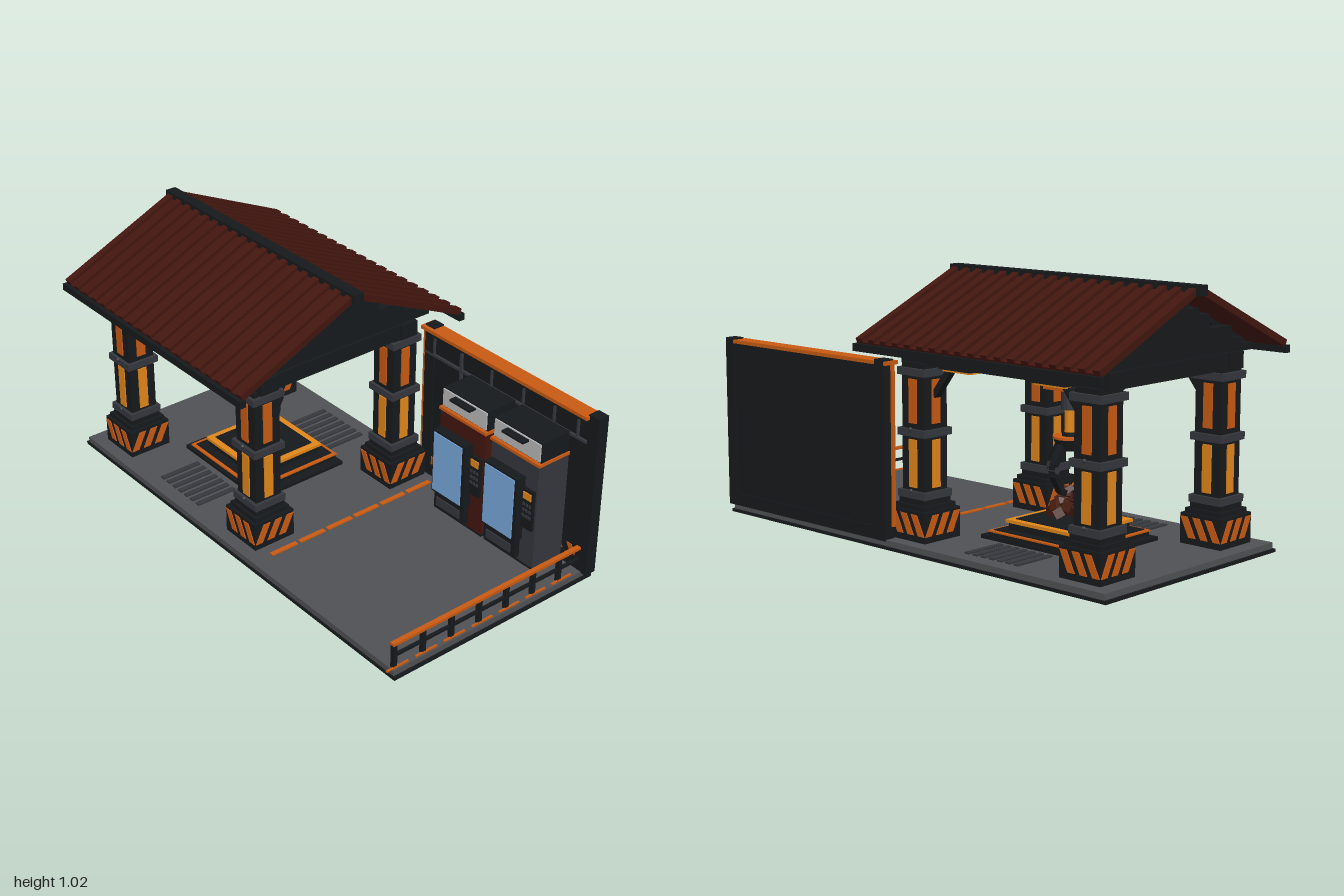
import * as THREE from 'three';

const DARK = 0x16191c, GREY = 0x34373d, FLOOR = 0x505154, ROOF = 0x43160f, ORANGE = 0xc85a12,
  AMBER = 0xe0861a, BLUE = 0x78a8dc, WHITE = 0xb8b8b8, RUST = 0x4a2013;
const mats = {};
const mat = c => (mats[c] ??= new THREE.MeshStandardMaterial({ color: c, flatShading: true }));

function add(parent, name, geo, color, x = 0, y = 0, z = 0) {
  const m = new THREE.Mesh(geo, mat(color));
  m.name = name;
  m.position.set(x, y, z);
  parent.add(m);
  return m;
}
function group(parent, name, x = 0, y = 0, z = 0) {
  const g = new THREE.Group();
  g.name = name;
  g.position.set(x, y, z);
  parent.add(g);
  return g;
}
// Box given by its limits on each axis
const span = (p, name, c, x0, x1, y0, y1, z0, z1) =>
  add(p, name, new THREE.BoxGeometry(x1 - x0, y1 - y0, z1 - z0), c, (x0 + x1) / 2, (y0 + y1) / 2, (z0 + z1) / 2);
// Square block centred on the y axis of its parent
const block = (p, name, c, r, y0, y1, rz = r) => span(p, name, c, -r, r, y0, y1, -rz, rz);
const drum = (p, name, c, rTop, rBot, y0, y1, n = 16) =>
  add(p, name, new THREE.CylinderGeometry(rTop, rBot, y1 - y0, n), c, 0, (y0 + y1) / 2, 0);
// Straight bar between two points
function bar(p, name, c, a, b, w, d) {
  const A = new THREE.Vector3(...a), B = new THREE.Vector3(...b), dir = B.clone().sub(A);
  const m = add(p, name, new THREE.BoxGeometry(w, dir.length(), d), c);
  m.position.copy(A).add(B).multiplyScalar(0.5);
  m.quaternion.setFromUnitVectors(new THREE.Vector3(0, 1, 0), dir.normalize());
  return m;
}
// Slanted hazard stripe standing on its parent's local z plane
function stripe(p, x, y, z, w, h, lean) {
  const s = new THREE.Shape([[-w / 2 + lean, 0], [w / 2 + lean, 0], [w / 2 - lean, h], [-w / 2 - lean, h]]
    .map(q => new THREE.Vector2(...q)));
  add(p, 'hazardStripe', new THREE.ExtrudeGeometry(s, { depth: 0.004, bevelEnabled: false }), ORANGE, x, y, z);
}

function column(p, x, z) {
  const g = group(p, 'column', x, 0, z);
  block(g, 'columnBase', DARK, 0.092, 0.035, 0.15);
  block(g, 'columnBaseTop', DARK, 0.08, 0.15, 0.168);
  block(g, 'columnFoot', DARK, 0.067, 0.168, 0.19);
  block(g, 'columnShaft', DARK, 0.058, 0.19, 0.695);
  for (const y of [0.19, 0.422, 0.648]) block(g, 'columnCollar', GREY, 0.071, y, y + 0.028);
  for (let i = 0; i < 4; i++) {
    const side = group(g, 'columnSide');
    side.rotation.y = i * Math.PI / 2;
    span(side, 'lowerLightPanel', AMBER, -0.02, 0.02, 0.23, 0.41, 0.05, 0.063);
    span(side, 'upperLightPanel', ORANGE, -0.02, 0.02, 0.47, 0.635, 0.05, 0.063);
    for (const sx of [-0.055, 0, 0.055]) stripe(side, sx, 0.06, 0.091, 0.032, 0.078, i % 2 ? -0.019 : 0.019);
  }
  // Bolts on the outward face
  for (const y of [0.218, 0.45])
    add(g, 'bolt', new THREE.SphereGeometry(0.008, 8, 6), GREY, 0, y, Math.sign(z) * 0.073);
}

function roof(p) {
  const g = group(p, 'roof', -0.4);
  const rise = 0.235, run = 0.518, tilt = Math.atan2(rise, run), len = Math.hypot(rise, run);
  for (const s of [1, -1]) {
    const slope = group(g, 'roofSlope', 0, 0.883, s * run / 2);
    slope.rotation.x = s * tilt;
    block(slope, 'roofPanel', ROOF, 0.582, -0.006, 0.006, len / 2);
    for (let i = 0; i < 19; i++) {
      const x = -0.567 + i * 0.063;
      span(slope, 'roofRib', ROOF, x - 0.015, x + 0.015, 0.006, 0.02, -len / 2, len / 2);
    }
    for (const x of [-0.42, -0.14, 0.14, 0.42])
      span(slope, 'rafter', DARK, x - 0.015, x + 0.015, -0.025, -0.006, -len / 2 + 0.03, len / 2 - 0.05);
    span(g, 'eaveBeam', DARK, -0.59, 0.59, 0.737, 0.765, s * 0.522 - 0.013, s * 0.522 + 0.013);
    span(g, 'sideBeam', DARK, -0.5, 0.5, 0.688, 0.75, s * 0.335 - 0.04, s * 0.335 + 0.04);
    // Lamps hanging below the side beams
    for (const x of [-0.225, 0.225]) {
      span(g, 'lampHousing', DARK, x - 0.08, x + 0.08, 0.682, 0.69, s * 0.335 - 0.04, s * 0.335 + 0.04);
      span(g, 'lamp', AMBER, x - 0.07, x + 0.07, 0.674, 0.683, s * 0.335 - 0.03, s * 0.335 + 0.03);
    }
    // Diagonal braces and stepped gables at both ends
    for (const e of [1, -1])
      bar(g, 'brace', DARK, [e * 0.36, 0.575, s * 0.335], [e * 0.27, 0.69, s * 0.335], 0.024, 0.03);
    const end = s * 0.44;
    span(g, 'crossBeam', DARK, end - 0.05, end + 0.05, 0.688, 0.75, -0.375, 0.375);
    for (const [hz, y0, y1] of [[0.45, 0.747, 0.775], [0.385, 0.775, 0.8], [0.325, 0.8, 0.846],
      [0.195, 0.846, 0.9], [0.13, 0.9, 0.925], [0.065, 0.925, 0.965]])
      span(g, 'gableStep', DARK, end - 0.04, end + 0.04, y0, y1, -hz, hz);
  }
  block(g, 'middleBeam', DARK, 0.44, 0.69, 0.75, 0.06);
  block(g, 'ridgeBeam', DARK, 0.597, 0.985, 1.022, 0.023);
}

function claw(p) {
  const g = group(p, 'claw', -0.4);
  block(g, 'craneMount', DARK, 0.065, 0.61, 0.69);
  block(g, 'mountTrim', ORANGE, 0.068, 0.67, 0.677);
  block(g, 'mountRim', ORANGE, 0.071, 0.6, 0.612);
  drum(g, 'sleeve', GREY, 0.034, 0.034, 0.525, 0.6);
  drum(g, 'rod', AMBER, 0.021, 0.021, 0.44, 0.525);
  drum(g, 'neck', DARK, 0.03, 0.03, 0.425, 0.44);
  drum(g, 'hubRim', ORANGE, 0.064, 0.064, 0.417, 0.426);
  drum(g, 'hub', DARK, 0.062, 0.045, 0.375, 0.417);
  const path = [[0.045, 0.395], [0.088, 0.325], [0.088, 0.29], [0.05, 0.225], [0.03, 0.215]];
  for (let i = 0; i < 4; i++) {
    const arm = group(g, 'clawArm');
    arm.rotation.y = i * Math.PI / 2;
    for (let k = 1; k < path.length; k++)
      bar(arm, 'clawLink', DARK, [...path[k - 1], 0], [...path[k], 0], 0.022, 0.028);
    const joint = add(arm, 'clawJoint', new THREE.CylinderGeometry(0.014, 0.014, 0.034, 8), GREY, 0.086, 0.308, 0);
    joint.rotation.x = Math.PI / 2;
  }
}

function platform(p) {
  const g = group(p, 'platform', -0.4);
  block(g, 'platformBase', DARK, 0.25, 0.03, 0.05, 0.212);
  block(g, 'lowerStep', DARK, 0.214, 0.05, 0.066, 0.205);
  block(g, 'lowerStepTrim', ORANGE, 0.216, 0.064, 0.07, 0.21);
  block(g, 'lowerStepTop', DARK, 0.2, 0.066, 0.073, 0.195);
  block(g, 'upperStep', DARK, 0.158, 0.07, 0.1);
  block(g, 'upperStepTrim', AMBER, 0.167, 0.1, 0.112);
  block(g, 'upperStepTop', DARK, 0.14, 0.1, 0.115);
  // Pile of scrap chunks
  for (let i = 0; i < 15; i++) {
    const a = i * 2.4, r = 0.075 * (1 - i / 15), s = 0.042 + 0.012 * Math.sin(i * 5);
    const c = add(g, 'scrapChunk', new THREE.BoxGeometry(s, s * 0.9, s), i % 3 ? RUST : ROOF,
      Math.cos(a) * r, 0.13 + i * 0.0055, Math.sin(a) * r * 0.8);
    c.rotation.set(i * 0.7, i * 1.3, i * 0.4);
  }
  // Floor grilles in front of and behind the platform
  for (const s of [1, -1]) for (let i = 0; i < 7; i++) {
    const x = -0.12 + i * 0.04;
    span(g, 'grilleSlat', GREY, x - 0.011, x + 0.011, 0.03, 0.041, s * 0.33 - 0.09, s * 0.33 + 0.09);
  }
}

function vendingMachine(p, x, color) {
  const g = group(p, 'vendingMachine', x);
  span(g, 'machineBody', color, -0.123, 0.123, 0.055, 0.5, -0.44, -0.29);
  span(g, 'machineFoot', DARK, -0.115, 0.115, 0.035, 0.055, -0.44, -0.3);
  span(g, 'windowFrame', DARK, -0.115, 0.06, 0.155, 0.43, -0.29, -0.249);
  span(g, 'window', BLUE, -0.108, 0.046, 0.165, 0.422, -0.25, -0.245);
  span(g, 'dispenserFrame', DARK, -0.115, 0.05, 0.07, 0.145, -0.29, -0.265);
  span(g, 'dispenserFlap', GREY, -0.1, 0.03, 0.088, 0.125, -0.266, -0.26);
  span(g, 'controlPanel', DARK, 0.062, 0.115, 0.22, 0.39, -0.29, -0.277);
  span(g, 'controlScreen', AMBER, 0.068, 0.108, 0.35, 0.378, -0.278, -0.272);
  for (let i = 0; i < 9; i++)
    add(g, 'button', new THREE.BoxGeometry(0.01, 0.012, 0.006), GREY, 0.072 + (i % 3) * 0.016, 0.325 - Math.floor(i / 3) * 0.025, -0.276);
  span(g, 'topTrim', ORANGE, -0.128, 0.128, 0.5, 0.512, -0.44, -0.285);
  span(g, 'signBox', DARK, -0.122, 0.122, 0.512, 0.594, -0.44, -0.3);
  span(g, 'signFace', WHITE, -0.118, 0.118, 0.518, 0.59, -0.305, -0.294);
  span(g, 'signVisor', DARK, -0.05, 0.06, 0.578, 0.586, -0.3, -0.262);
}

function backWall(p) {
  const g = group(p, 'backWall');
  span(g, 'wallPanel', DARK, 0.08, 0.955, 0.03, 0.69, -0.478, -0.445);
  span(g, 'wallCap', ORANGE, 0.07, 0.955, 0.688, 0.702, -0.485, -0.42);
  span(g, 'wallSkirt', DARK, 0.08, 0.955, 0.03, 0.08, -0.484, -0.437);
  span(g, 'wallEndTrim', ORANGE, 0.072, 0.08, 0.08, 0.69, -0.45, -0.435);
  for (const x of [0.08, 0.95]) span(g, 'wallPost', DARK, x, x + 0.05, 0.03, 0.708, -0.485, -0.436);
  // Conduits
  span(g, 'conduit', GREY, 0.08, 0.95, 0.583, 0.593, -0.446, -0.434);
  for (const x of [0.13, 0.45, 0.62, 0.78, 0.9])
    span(g, 'conduitRiser', GREY, x - 0.004, x + 0.004, 0.585, 0.66, -0.446, -0.436);
  span(g, 'conduitDrop', GREY, 0.28, 0.29, 0.09, 0.66, -0.446, -0.434);
  for (let x = 0.13; x < 0.95; x += 0.065) stripe(g, x, 0.085, -0.446, 0.025, 0.037, 0.01);
}

function railing(p) {
  const g = group(p, 'railing', 0.957);
  for (let i = 0; i < 7; i++) {
    const z = 0.465 - i * 0.133;
    span(g, 'railPost', DARK, -0.008, 0.008, 0.03, 0.133, z - 0.009, z + 0.009);
    span(g, 'railMark', ORANGE, 0.004, 0.012, 0.035, 0.041, z - 0.06, z + 0.04);
  }
  span(g, 'topRail', ORANGE, -0.01, 0.01, 0.131, 0.142, -0.436, 0.475);
  span(g, 'middleRail', DARK, -0.006, 0.006, 0.08, 0.09, -0.436, 0.47);
}

export function createModel() {
  const model = new THREE.Group();
  model.name = 'workshopStand';
  block(model, 'baseEdge', DARK, 0.985, 0, 0.012, 0.485);
  block(model, 'floor', FLOOR, 0.975, 0.012, 0.035, 0.48);
  for (const x of [-0.82, 0.02]) for (const z of [-0.335, 0.335]) column(model, x, z);
  roof(model);
  platform(model);
  claw(model);
  backWall(model);
  vendingMachine(model, 0.463, ROOF);
  vendingMachine(model, 0.743, GREY);
  railing(model);
  // Dashed floor line
  for (let i = 0; i < 6; i++)
    span(model, 'floorLine', ORANGE, 0.16, 0.18, 0.03, 0.04, -0.4 + i * 0.135, -0.28 + i * 0.135);
  return model;
}
